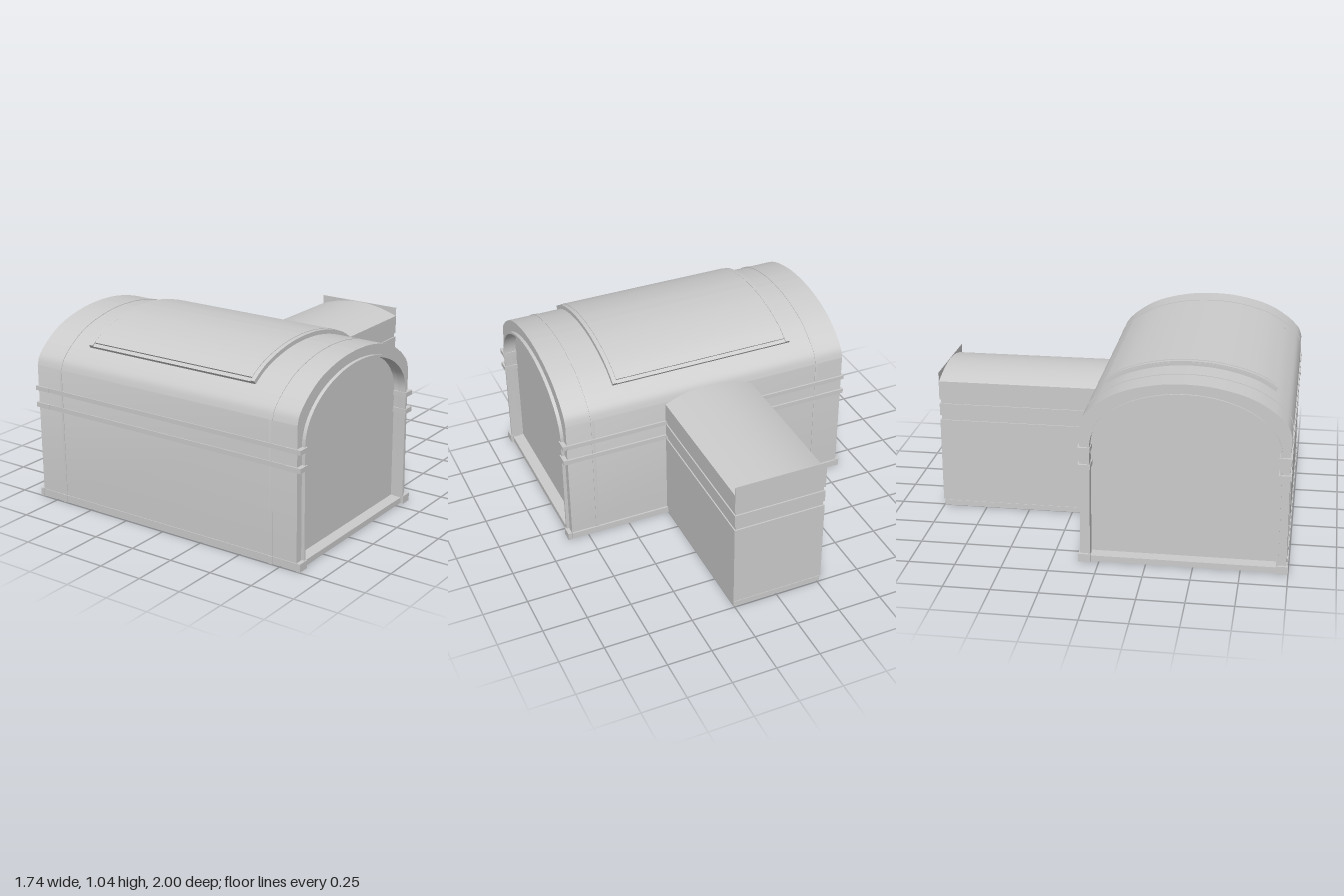
import * as THREE from 'three';
import { toCreasedNormals } from 'three/addons/utils/BufferGeometryUtils.js';

const grey = new THREE.MeshStandardMaterial({ color: 0xcccccc, side: THREE.DoubleSide });
const ZC = 0.445; // centre line of the main hall in z
const CX = -0.005; // centre line of the annex in x

// Right half of the barrel roof section: [distance from centre line, height]
const roofCurve = new THREE.SplineCurve([
  [0.545, 0.77], [0.53, 0.815], [0.5, 0.852], [0.45, 0.895], [0.36, 0.95],
  [0.25, 0.988], [0.12, 1.013], [0, 1.02],
].map(([d, y]) => new THREE.Vector2(d, y)));

const mirrored = (half) => [
  ...half, ...half.slice(0, -1).reverse().map((p) => new THREE.Vector2(-p.x, p.y)),
];

// Roof arc moved outwards by a distance, optionally limited to a half width
function arc(offset = 0, limit = 1) {
  const half = [];
  for (let i = 0; i <= 32; i++) {
    const p = roofCurve.getPoint(i / 32);
    const t = roofCurve.getTangent(i / 32);
    if (i === 0) t.set(0, 1);
    if (i === 32) t.set(-1, 0);
    if (p.x <= limit) half.push(new THREE.Vector2(p.x + t.y * offset, p.y - t.x * offset));
  }
  return mirrored(half);
}

// Full outer section, with straight walls down to the ground
function outer(offset = 0) {
  const w = 0.545 + offset;
  return [new THREE.Vector2(w, 0), ...arc(offset), new THREE.Vector2(-w, 0)];
}

// Elliptical opening of the end walls
function inner(offset = 0) {
  const a = 0.495 + offset, half = [new THREE.Vector2(a, 0)];
  for (let i = 0; i <= 24; i++) {
    const t = (i / 24) * Math.PI / 2;
    half.push(new THREE.Vector2(a * Math.cos(t), 0.66 + (0.3 + offset) * Math.sin(t)));
  }
  return mirrored(half);
}

const between = (a, b) => [...a, ...[...b].reverse()];

export function createModel() {
  const group = new THREE.Group();

  function add(name, geometry) {
    const mesh = new THREE.Mesh(geometry, grey);
    mesh.name = name;
    group.add(mesh);
  }
  // Box given by its limits
  function box(name, x0, x1, y0, y1, z0, z1) {
    const g = new THREE.BoxGeometry(x1 - x0, y1 - y0, z1 - z0);
    add(name, g.translate((x0 + x1) / 2, (y0 + y1) / 2, (z0 + z1) / 2));
  }
  // Hall section extruded along x
  function along(name, points, x0, x1) {
    const g = new THREE.ExtrudeGeometry(new THREE.Shape(points), { depth: x1 - x0, bevelEnabled: false });
    g.rotateY(-Math.PI / 2).translate(x1, 0, ZC);
    add(name, toCreasedNormals(g, 0.5));
  }

  // Main hall: barrel shell, recessed end walls and floor
  along('hallShell', between(outer(), inner()), -0.855, 0.845);
  for (const s of [-1, 1]) along('endWall', inner(0.002), s * 0.78 - 0.01, s * 0.78 + 0.01);
  box('hallFloor', -0.86, 0.855, 0.003, 0.035, -0.1, 0.99);

  // Arch trim and thin ribs at both ends
  for (const s of [-1, 1]) {
    along('archTrim', between(inner(0.008), inner(-0.004)), s * 0.84 - 0.024, s * 0.84 + 0.024);
    along('hallRib', between(outer(0.003), outer(-0.01)), s * 0.69 - 0.01, s * 0.69 + 0.01);
  }

  // Horizontal bands on the long walls, wrapped around the end jambs
  const bands = [[0.53, 0.557], [0.627, 0.652]];
  for (const s of [-1, 1]) {
    const zWall = ZC + s * 0.545;
    for (const [y0, y1] of bands) {
      box('wallBand', -0.85, 0.845, y0, y1, zWall - 0.01, zWall + 0.005);
      for (const e of [-1, 1]) {
        box('jambBand', e * 0.825 - 0.045, e * 0.825 + 0.045, y0, y1, zWall - s * 0.025 - 0.033, zWall - s * 0.025 + 0.033);
      }
    }
    box('basePlinth', -0.85, 0.845, 0.004, 0.042, zWall - 0.01, zWall + 0.004);
    // Feet under the corners and the ribs
    for (const e of [-1, 1]) {
      box('cornerFoot', e * 0.86 - 0.011, e * 0.86 + 0.011, 0, 0.045, zWall - s * 0.023 - 0.032, zWall - s * 0.023 + 0.032);
      box('ribFoot', e * 0.69 - 0.012, e * 0.69 + 0.012, 0, 0.042, zWall - 0.008, zWall + 0.008);
    }
  }

  // Raised curved hatch on the roof, with a lower border
  along('hatchBorder', between(arc(0.016, 0.456), arc(-0.01, 0.456)), -0.555, 0.53);
  along('hatchPanel', between(arc(0.025, 0.435), arc(-0.01, 0.435)), -0.525, 0.505);
  for (const x of [-0.54, 0.518]) {
    along('hatchSideRail', between(arc(0.023, 0.456), arc(-0.01, 0.456)), x - 0.012, x + 0.012);
  }

  // Rear annex: core with proud wall panels that leave grooves between them
  box('annexCore', CX - 0.256, CX + 0.256, 0.003, 0.757, -0.992, -0.05);
  for (const [y0, y1] of [[0.042, 0.53], [0.557, 0.627], [0.652, 0.76]]) {
    box('annexWallPanel', CX - 0.263, CX + 0.263, y0, y1, -1, -0.07);
  }
  box('annexPlinth', CX - 0.259, CX + 0.259, 0.003, 0.034, -0.995, -0.07);

  // Annex vault and the flat parapet behind it
  const vault = new THREE.Shape();
  vault.moveTo(0.263, 0.755);
  for (let i = 0; i <= 24; i++) {
    const x = 0.263 * (1 - i / 12);
    vault.lineTo(x, 0.76 + 0.05 * (1 - (x / 0.263) ** 2));
  }
  vault.lineTo(-0.263, 0.755);
  const roof = new THREE.ExtrudeGeometry(vault, { depth: 0.96, bevelEnabled: false });
  add('annexRoof', toCreasedNormals(roof.translate(CX, 0, -0.998), 0.5));
  box('annexParapet', CX - 0.263, CX + 0.263, 0.652, 0.812, -1, -0.997);

  return group;
}
